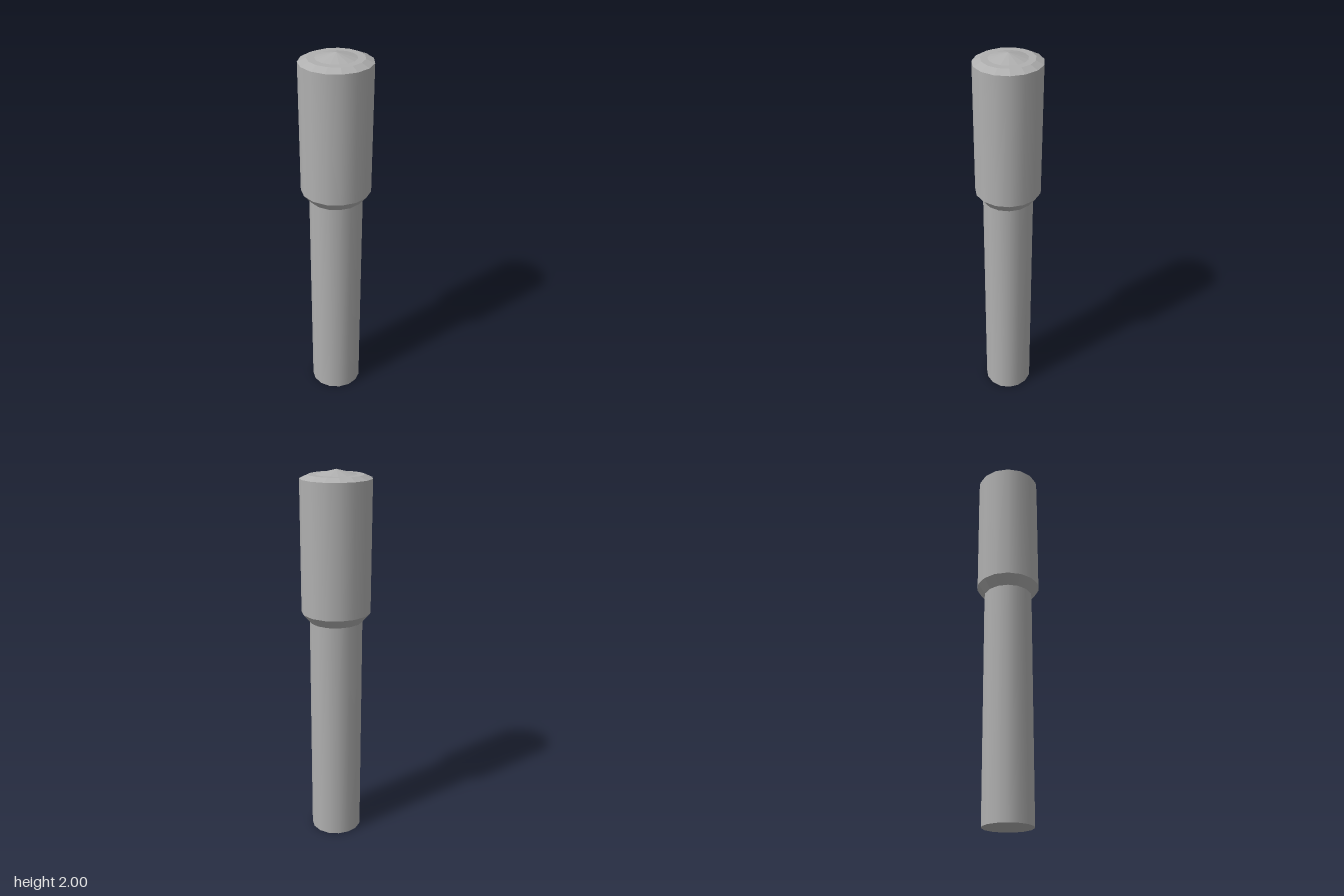
import * as THREE from 'three';

const SIDES = 15;
const DEPTH = 0.94; // the section is slightly narrower in z than in x

export function createModel() {
  const model = new THREE.Group();
  model.name = 'grippedRod';

  const grey = new THREE.MeshStandardMaterial({ color: 0xb0b0b0 });
  grey.name = 'grey';

  // One band of the rod between two radii and heights, with a corner on -x
  function band(name, rBottom, yBottom, rTop, yTop, faceted) {
    let geometry = new THREE.CylinderGeometry(
      rTop, rBottom, yTop - yBottom, SIDES, 1, true, -Math.PI / 2);
    geometry.scale(1, 1, DEPTH);
    if (faceted) {
      geometry = geometry.toNonIndexed();
      geometry.computeVertexNormals();
    }
    const mesh = new THREE.Mesh(geometry, grey);
    mesh.name = name;
    mesh.position.set(0.002, (yBottom + yTop) / 2, 0);
    model.add(mesh);
  }

  // Slim lower rod with its flat foot
  band('foot', 0, 0, 0.138, 0, true);
  band('shaft', 0.138, 0, 0.138, 1.235, false);

  // Thicker upper section with bevelled ends
  band('lowerBevel', 0.138, 1.235, 0.18, 1.285, true);
  band('barrel', 0.18, 1.285, 0.18, 1.957, false);
  band('upperBevel', 0.18, 1.957, 0.138, 1.975, true);

  // Flat rim around a shallow pointed cap
  band('rim', 0.138, 1.975, 0.101, 1.975, true);
  band('pointedCap', 0.101, 1.975, 0, 2, true);

  return model;
}
